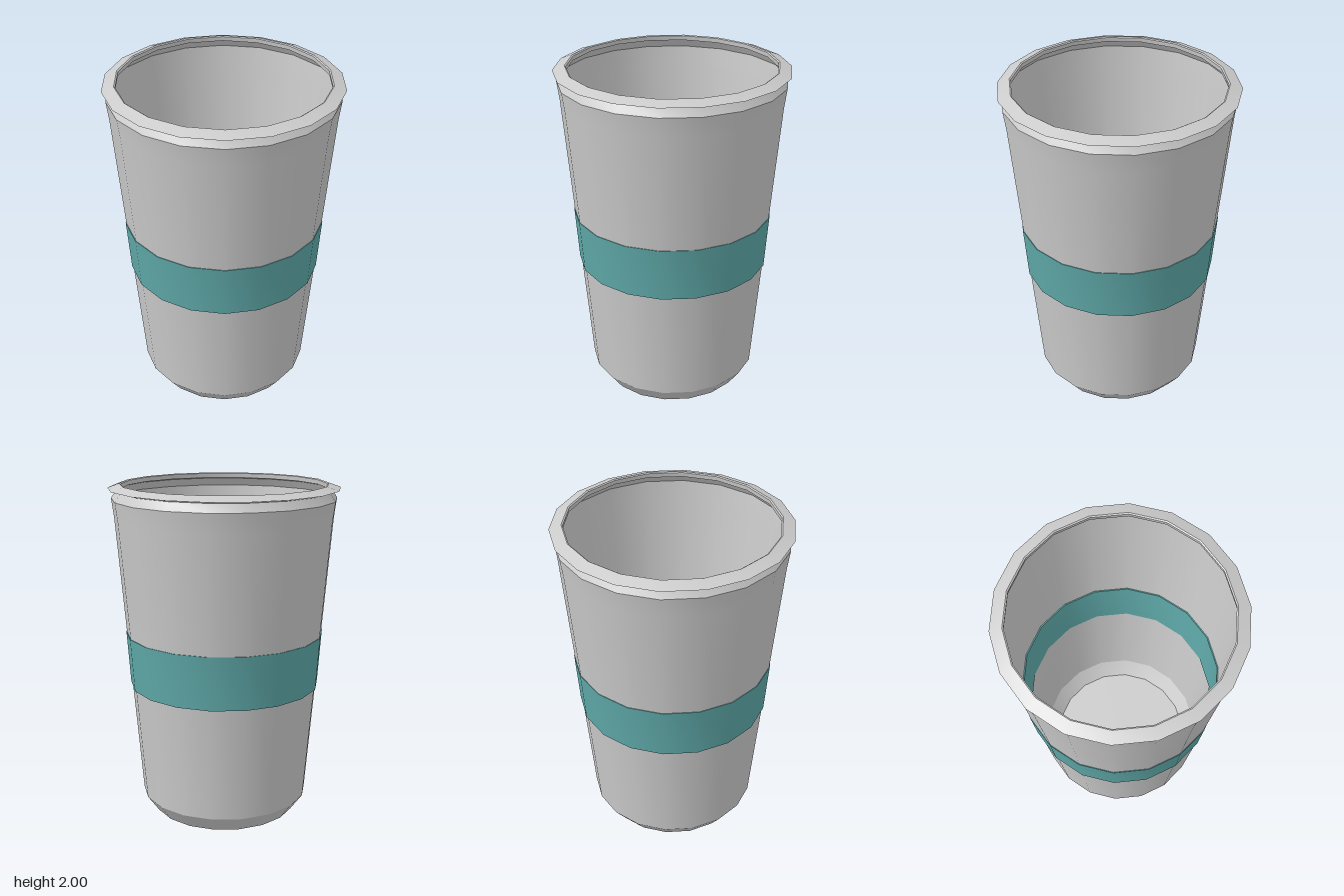
import * as THREE from 'three';
import { toCreasedNormals } from 'three/addons/utils/BufferGeometryUtils.js';

const SIDES = 18;
const grey = new THREE.MeshStandardMaterial({ color: 0xcccccc, side: THREE.DoubleSide });
const teal = new THREE.MeshStandardMaterial({ color: 0x5fa8a8, side: THREE.DoubleSide });

// Turned part from [radius, height] pairs: smooth around, sharp at profile corners
function turned(name, profile, material) {
  const points = profile.map(([r, y]) => new THREE.Vector2(r, y));
  const lathe = new THREE.LatheGeometry(points, SIDES, Math.PI / 2);
  const mesh = new THREE.Mesh(toCreasedNormals(lathe, 0.45), material);
  mesh.name = name;
  return mesh;
}

export function createModel() {
  const cup = new THREE.Group();
  cup.name = 'cup';

  // Thin tapered wall with a chamfered foot and shoulder
  cup.add(turned('wall', [
    [0.434, 0], [0.506, 0.1], [0.645, 1.8], [0.66, 1.915], [0.628, 1.965],
  ], grey));

  // Flat floor
  const floor = new THREE.Mesh(new THREE.CircleGeometry(0.434, SIDES), grey);
  floor.rotation.x = Math.PI / 2;
  floor.name = 'floor';
  cup.add(floor);

  // Flared lip overhanging the shoulder
  cup.add(turned('lip', [
    [0.605, 1.968], [0.628, 1.962], [0.68, 1.975], [0.61, 2], [0.602, 1.995], [0.605, 1.968],
  ], grey));

  // Coloured band around the middle, its upper edge showing just inside the wall
  cup.add(turned('band', [
    [0.56, 0.795], [0.571, 0.795], [0.593, 1.115], [0.582, 1.115], [0.56, 0.795],
  ], teal));

  return cup;
}
